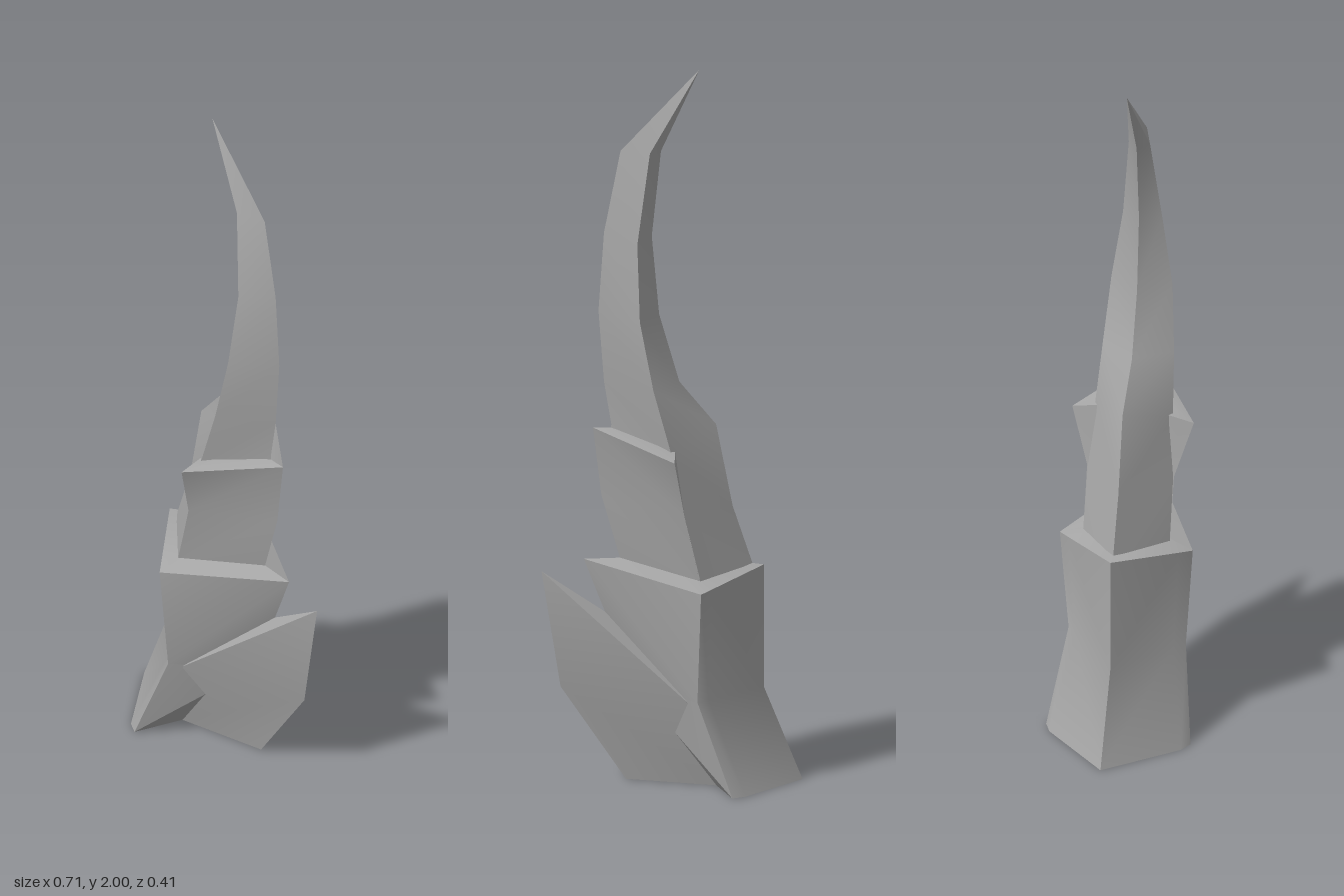
import * as THREE from 'three';
import { toCreasedNormals } from 'three/addons/utils/BufferGeometryUtils.js';

// Loft through mirrored cross-sections. Each row runs from the left keel (z = 0)
// around the +z side to the right keel (z = 0); the -z side is mirrored.
function loft(rows, topCentre) {
  const rings = rows.map(row => [
    ...row,
    ...row.slice(1, -1).reverse().map(([x, y, z]) => [x, y, -z]),
  ]);
  const pos = [];
  const same = (a, b) => a.every((v, i) => Math.abs(v - b[i]) < 1e-6);
  const tri = (a, b, c) => {
    if (!same(a, b) && !same(b, c) && !same(a, c)) pos.push(...a, ...b, ...c);
  };
  const n = rings[0].length;
  const last = rings[rings.length - 1];
  const first = rings[0];
  const bottomCentre = [(first[0][0] + rows[0][rows[0].length - 1][0]) / 2, first[0][1], 0];
  for (let j = 0; j < n; j++) {
    const k = (j + 1) % n;
    for (let i = 0; i < rings.length - 1; i++) {
      const a = rings[i], b = rings[i + 1];
      // mirror the diagonal so both sides match
      if (j < n / 2) {
        tri(a[j], a[k], b[k]);
        tri(a[j], b[k], b[j]);
      } else {
        tri(a[j], a[k], b[j]);
        tri(a[k], b[k], b[j]);
      }
    }
    tri(first[k], first[j], bottomCentre);
    if (topCentre) tri(last[j], last[k], topCentre);
  }
  const geometry = new THREE.BufferGeometry();
  geometry.setAttribute('position', new THREE.Float32BufferAttribute(pos, 3));
  return toCreasedNormals(geometry, 0.6);
}

export function createModel() {
  const group = new THREE.Group();
  group.name = 'hornedSpike';
  const grey = new THREE.MeshStandardMaterial({ color: 0xa6a6a6 });
  grey.name = 'grey';

  const add = (name, rows, topCentre) => {
    const mesh = new THREE.Mesh(loft(rows, topCentre), grey);
    mesh.name = name;
    group.add(mesh);
  };

  // Broad foot with a flared rim
  add('base', [
    [[-0.355, 0, 0], [-0.2, 0, 0.185], [-0.165, 0, 0.203], [-0.1, 0, 0]],
    [[-0.25, 0.26, 0], [-0.1, 0.26, 0.138], [-0.07, 0.26, 0.165], [0.1, 0.26, 0]],
    [[-0.25, 0.605, 0], [-0.11, 0.576, 0.154], [-0.08, 0.57, 0.187], [0.24, 0.62, 0]],
  ], [-0.05, 0.63, 0]);

  // Curved horn: left keel x, y; side ridge x, y, z; right keel x, y
  const horn = [
    [-0.235, 0.56, -0.085, 0.56, 0.122, 0.125, 0.56],
    [-0.165, 0.77, -0.035, 0.77, 0.12, 0.185, 0.79],
    [-0.12, 1.0, 0.0, 0.94, 0.11, 0.165, 1.0],
    [-0.02, 1.12, 0.05, 1.12, 0.1, 0.185, 1.12],
    [0.035, 1.31, 0.087, 1.31, 0.086, 0.2, 1.32],
    [0.055, 1.53, 0.094, 1.52, 0.055, 0.185, 1.54],
    [0.03, 1.77, 0.06, 1.77, 0.03, 0.14, 1.77],
    [-0.075, 2.0, -0.075, 2.0, 0, -0.075, 2.0],
  ];
  add('horn', horn.map(([lx, ly, mx, my, mz, rx, ry]) =>
    [[lx, ly, 0], [mx, my, mz], [rx, ry, 0]]));

  // Flared plate wrapping the right side of the horn
  add('upperPlate', [
    [[-0.08, 0.58, 0], [-0.078, 0.58, 0.122], [0.135, 0.6, 0]],
    [[-0.04, 0.77, 0], [-0.035, 0.77, 0.122], [0.192, 0.8, 0]],
    [[-0.01, 0.97, 0], [-0.008, 0.935, 0.171], [0.215, 0.99, 0]],
  ], [0.08, 0.99, 0]);

  // Pointed plate jutting from the right side of the base
  add('lowerPlate', [
    [[-0.13, 0, 0], [-0.13, 0, 0.07], [0.125, 0, 0]],
    [[-0.04, 0.325, 0], [-0.04, 0.255, 0.138], [0.303, 0.26, 0]],
    [[0.355, 0.585, 0], [0.355, 0.585, 0], [0.355, 0.585, 0]],
  ]);

  return group;
}
